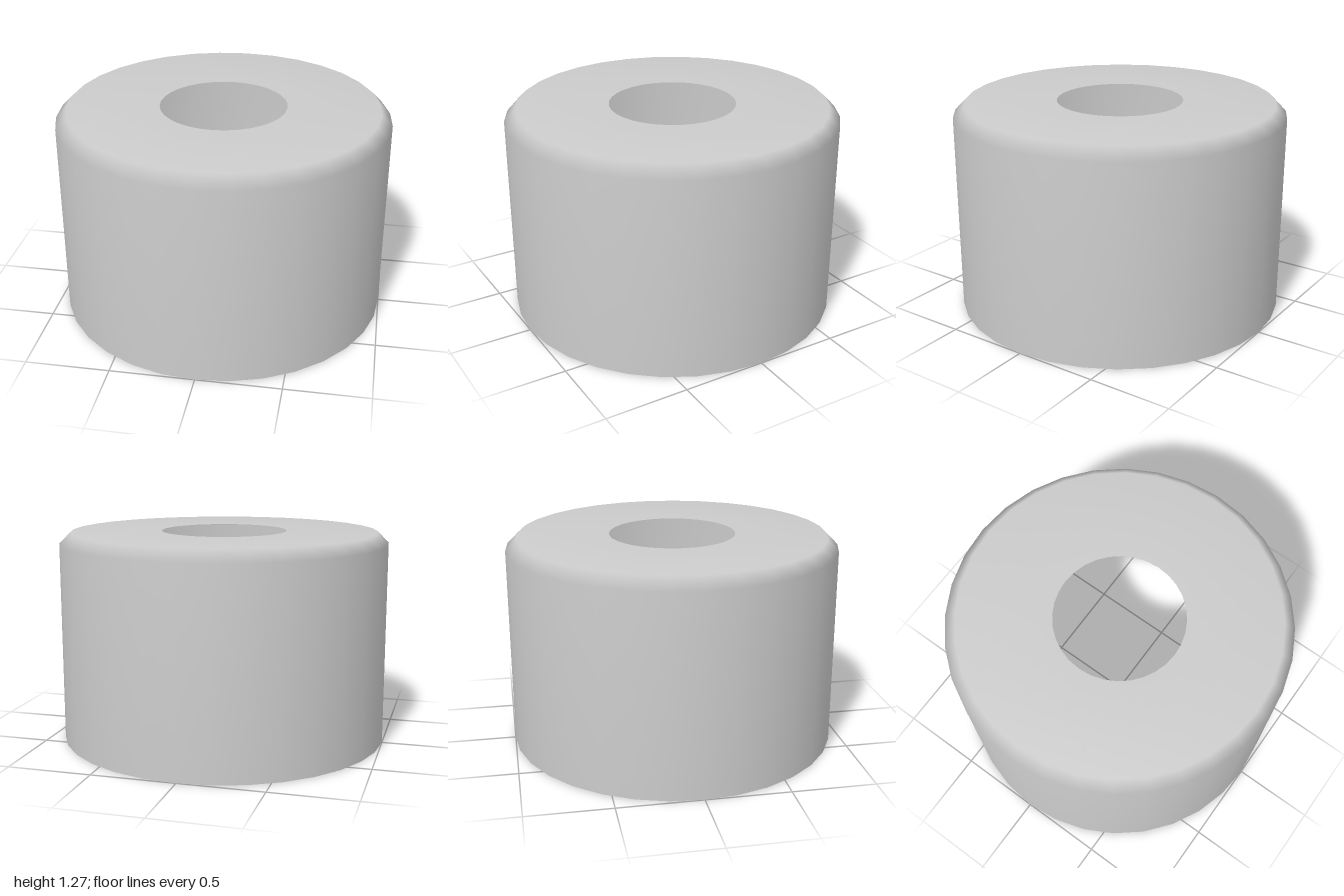
import * as THREE from 'three';

export function createModel() {
  const group = new THREE.Group();
  group.name = 'cap';

  // Thin open-bottomed shell: straight wall, chamfered shoulder, flat top with a round hole
  const profile = [
    [1, 0],
    [1, 1.205],
    [0.933, 1.273],
    [0.381, 1.273],
  ].map(([r, y]) => new THREE.Vector2(r, y));

  const material = new THREE.MeshStandardMaterial({ color: 0xcccccc, side: THREE.DoubleSide });
  const shell = new THREE.Mesh(new THREE.LatheGeometry(profile, 32), material);
  shell.name = 'shell';
  group.add(shell);

  return group;
}
